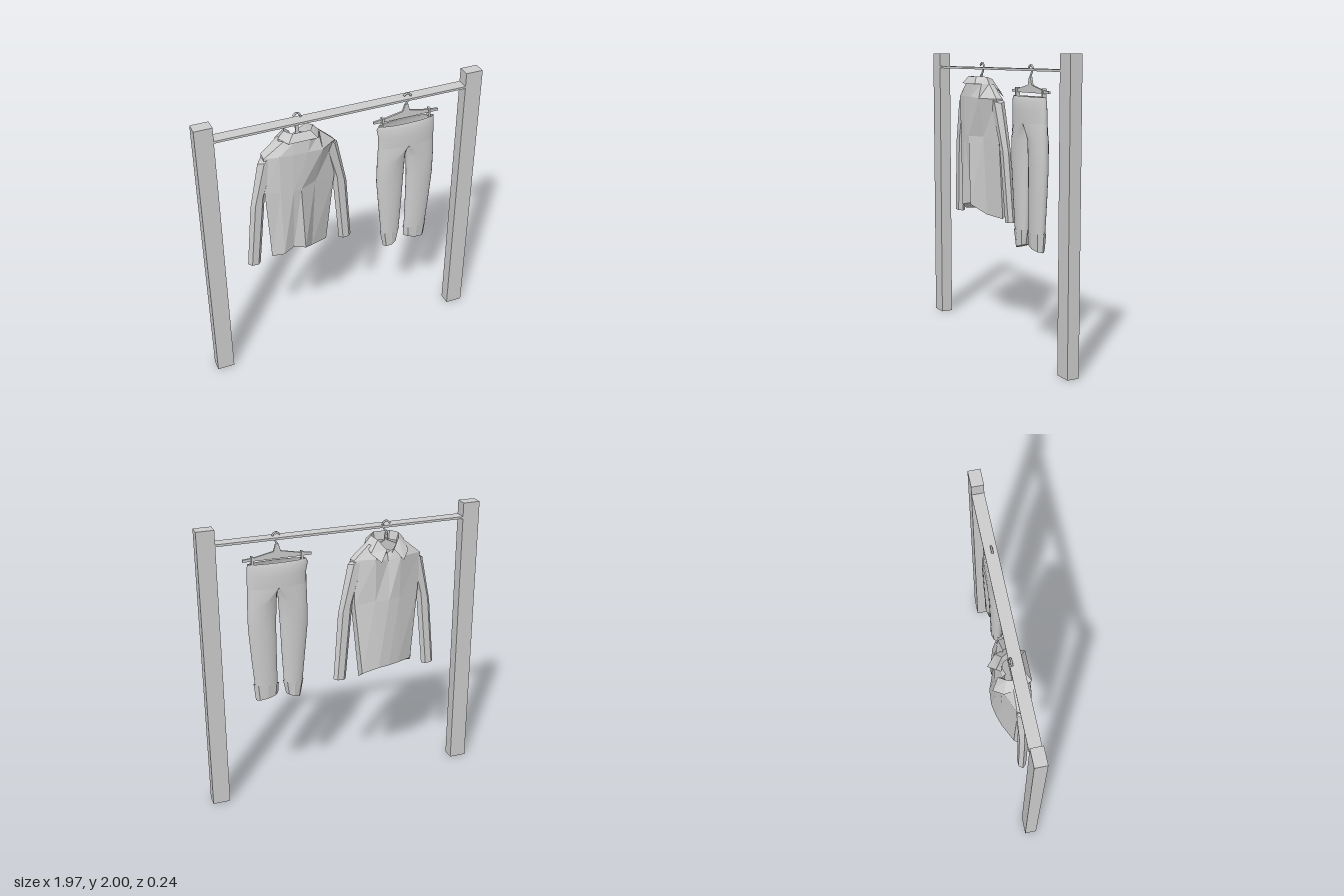
import * as THREE from 'three';

const grey = new THREE.MeshStandardMaterial({ color: 0xcccccc, side: THREE.DoubleSide });
grey.name = 'plain grey';

function mesh(name, geometry, parent, x = 0, y = 0, z = 0) {
  const m = new THREE.Mesh(geometry, grey);
  m.name = name;
  m.position.set(x, y, z);
  parent.add(m);
  return m;
}

function group(name, parent) {
  const g = new THREE.Group();
  g.name = name;
  parent.add(g);
  return g;
}

// Skin over rings of [x, y, z] points, listed bottom to top, counter-clockwise from above
function loft(rings, { smooth = false, open = false, cap = false } = {}) {
  const n = rings[0].length, pos = rings.flat(), idx = [];
  for (let i = 0; i < rings.length - 1; i++) {
    for (let j = 0; j < (open ? n - 1 : n); j++) {
      const k = (j + 1) % n, a = i * n + j, b = i * n + k, c = b + n, d = a + n;
      idx.push(a, b, c, a, c, d);
    }
  }
  if (cap) {
    const mid = [0, 1, 2].map(c => rings[0].reduce((s, p) => s + p[c], 0) / n);
    pos.push(mid);
    for (let j = 0; j < n; j++) idx.push(pos.length - 1, (j + 1) % n, j);
  }
  let g = new THREE.BufferGeometry();
  g.setAttribute('position', new THREE.Float32BufferAttribute(pos.flat(), 3));
  g.setIndex(idx);
  if (!smooth) g = g.toNonIndexed();
  g.computeVertexNormals();
  return g;
}

// Elliptical ring between x0 and x1; tilt raises its +x end
function ring(y, x0, x1, z, depth, n = 24, tilt = 0) {
  return Array.from({ length: n }, (_, i) => {
    const t = (i / n) * Math.PI * 2;
    return [(x0 + x1) / 2 + ((x1 - x0) / 2) * Math.cos(t), y + tilt * Math.cos(t), z - depth * Math.sin(t)];
  });
}

// Hook that loops over the rail
function hook(parent, points, z) {
  const curve = new THREE.CatmullRomCurve3(points.map(([x, y]) => new THREE.Vector3(x, y, z)));
  mesh('hangerHook', new THREE.TubeGeometry(curve, 24, 0.007, 6), parent);
}

function hangerBody(parent, points, z) {
  const shape = new THREE.Shape(points.map(([x, y]) => new THREE.Vector2(x, y)));
  mesh('hangerBody', new THREE.ExtrudeGeometry(shape, { depth: 0.014, bevelEnabled: false }), parent, 0, 0, z - 0.007);
}

function buildRack(parent) {
  const rack = group('rack', parent);
  for (const s of [-1, 1]) mesh('post', new THREE.BoxGeometry(0.12, 2, 0.083), rack, s * 0.925, 1, 0.041);
  mesh('rail', new THREE.BoxGeometry(1.73, 0.015, 0.083), rack, 0, 1.897, 0.041);
}

function buildShirt(parent) {
  const shirt = group('shirt', parent);
  // Body: hem, waist, chest and neck sections, with folds in the hem
  const hem = [[-0.52, 0.87, 0.04], [-0.45, 0.91, 0.1], [-0.37, 0.93, 0.07], [-0.3, 0.93, 0.112], [-0.22, 0.86, 0.02],
    [-0.09, 0.84, -0.04], [-0.1, 0.88, -0.09], [-0.22, 0.91, -0.1], [-0.3, 0.91, -0.085], [-0.38, 0.91, -0.06], [-0.5, 0.9, 0]];
  const waist = [[-0.555, 1.42, 0.06], [-0.46, 1.42, 0.105], [-0.375, 1.42, 0.115], [-0.32, 1.42, 0.112], [-0.2, 1.42, 0.055],
    [-0.05, 1.38, 0.01], [-0.06, 1.38, -0.04], [-0.2, 1.4, -0.07], [-0.3, 1.4, -0.075], [-0.38, 1.4, -0.06], [-0.54, 1.42, 0]];
  const chest = [[-0.55, 1.68, 0.06], [-0.46, 1.7, 0.11], [-0.37, 1.7, 0.12], [-0.27, 1.7, 0.12], [-0.165, 1.69, 0.11],
    [-0.05, 1.69, 0.03], [-0.06, 1.69, -0.02], [-0.2, 1.7, -0.07], [-0.3, 1.67, -0.04], [-0.38, 1.7, -0.07], [-0.55, 1.69, 0]];
  const neck = [[-0.44, 1.78, 0.04], [-0.42, 1.79, 0.08], [-0.36, 1.79, 0.11], [-0.25, 1.79, 0.11], [-0.18, 1.79, 0.08],
    [-0.16, 1.79, 0.03], [-0.17, 1.79, -0.01], [-0.24, 1.77, -0.045], [-0.3, 1.72, -0.02], [-0.36, 1.77, -0.045], [-0.43, 1.79, 0]];
  mesh('shirtBody', loft([hem, waist, chest, neck], { cap: true }), shirt);

  // Sleeves: [y, x0, x1, z, depth, tilt] from cuff to shoulder
  const sleeves = {
    rightSleeve: [[0.838, -0.69, -0.6, 0.025, 0.03, -0.003], [1.36, -0.65, -0.545, 0.035, 0.035, 0.05],
      [1.67, -0.585, -0.45, 0.035, 0.045, 0.03], [1.74, -0.5, -0.41, 0.035, 0.035, 0.04]],
    leftSleeve: [[0.838, 0, 0.09, -0.025, 0.03, 0.003], [1.36, -0.055, 0.05, -0.01, 0.035, -0.04],
      [1.68, -0.15, -0.025, 0.005, 0.045, -0.02], [1.74, -0.19, -0.1, 0.02, 0.035, -0.04]],
  };
  for (const [name, rows] of Object.entries(sleeves)) {
    mesh(name, loft(rows.map(([y, a, b, z, d, t]) => ring(y, a, b, z, d, 6, t)), { cap: true }), shirt);
  }

  // Collar: half of each edge, mirrored about the neck centre, folded over a stand
  const mirrored = half => [...half, ...half.map(([x, y, z]) => [-0.6 - x, y, z]).reverse()];
  const edge = mirrored([[-0.38, 1.69, -0.12], [-0.435, 1.74, -0.06], [-0.44, 1.79, 0.03], [-0.4, 1.79, 0.122]]);
  const fold = mirrored([[-0.325, 1.76, -0.075], [-0.375, 1.82, -0.03], [-0.4, 1.838, 0.03], [-0.36, 1.84, 0.09]]);
  const stand = mirrored([[-0.32, 1.72, -0.045], [-0.365, 1.76, -0.02], [-0.385, 1.78, 0.03], [-0.35, 1.78, 0.08]]);
  mesh('collar', loft([edge, fold], { open: true }), shirt);
  mesh('collarStand', loft([stand, fold], { open: true }), shirt);

  // Hanger
  const hanger = group('shirtHanger', shirt);
  hangerBody(hanger, [[-0.49, 1.69], [-0.3, 1.73], [-0.11, 1.69], [-0.11, 1.71], [-0.29, 1.8], [-0.295, 1.85], [-0.315, 1.85], [-0.315, 1.8], [-0.49, 1.71]], 0.015);
  hook(hanger, [[-0.305, 1.8], [-0.307, 1.85], [-0.285, 1.885], [-0.277, 1.915], [-0.3, 1.935], [-0.328, 1.918]], 0.012);
}

function buildTrousers(parent) {
  const trousers = group('trousers', parent);
  const z = 0.055;
  // Hips
  mesh('hips', loft([ring(1.56, 0.25, 0.66, z, 0.055), ring(1.64, 0.25, 0.658, z, 0.055),
    ring(1.7, 0.237, 0.655, z, 0.048), ring(1.728, 0.25, 0.652, z, 0.035)], { smooth: true }), trousers);

  // Legs: [y, x0, x1, depth]; the top ring is half of the hip ring
  const crotch = s => ring(1.56, 0.25, 0.66, z, 0.055).map(([x, y, pz]) => [s > 0 ? Math.max(0.455, x) : Math.min(0.455, x), y, pz]);
  const legs = {
    rightLeg: [-1, [[0.83, 0.293, 0.425, 0.04], [1.05, 0.27, 0.435, 0.046], [1.28, 0.246, 0.443, 0.05], [1.45, 0.248, 0.45, 0.053]]],
    leftLeg: [1, [[0.83, 0.472, 0.632, 0.04], [1.05, 0.472, 0.65, 0.046], [1.28, 0.47, 0.665, 0.05], [1.45, 0.462, 0.663, 0.053]]],
  };
  for (const [name, [s, rows]] of Object.entries(legs)) {
    const rings = rows.map(([y, a, b, d]) => ring(y, a, b, z, d));
    mesh(name, loft([...rings, crotch(s)], { smooth: true }), trousers);
  }

  // Turned-up cuffs
  mesh('rightCuff', loft([ring(0.737, 0.31, 0.412, z, 0.038, 8, 0.017), ring(0.85, 0.284, 0.432, z, 0.046, 8, 0.004)], { cap: true }), trousers);
  mesh('leftCuff', loft([ring(0.752, 0.47, 0.63, z, 0.038, 8, -0.017), ring(0.852, 0.463, 0.643, z, 0.046, 8, 0.007)], { cap: true }), trousers);

  // Hanger with crossbar and clips
  const hanger = group('trouserHanger', trousers);
  hangerBody(hanger, [[0.215, 1.75], [0.685, 1.75], [0.685, 1.766], [0.61, 1.772], [0.475, 1.8], [0.46, 1.85], [0.44, 1.85], [0.425, 1.8], [0.3, 1.775], [0.215, 1.766]], 0.047);
  for (const x of [0.28, 0.62]) mesh('clip', new THREE.BoxGeometry(0.014, 0.06, 0.03), hanger, x, 1.752, 0.047);
  hook(hanger, [[0.45, 1.8], [0.448, 1.85], [0.468, 1.885], [0.478, 1.91], [0.455, 1.928], [0.428, 1.913]], 0.047);
}

export function createModel() {
  const model = new THREE.Group();
  model.name = 'clothesRack';
  buildRack(model);
  buildShirt(model);
  buildTrousers(model);
  return model;
}
